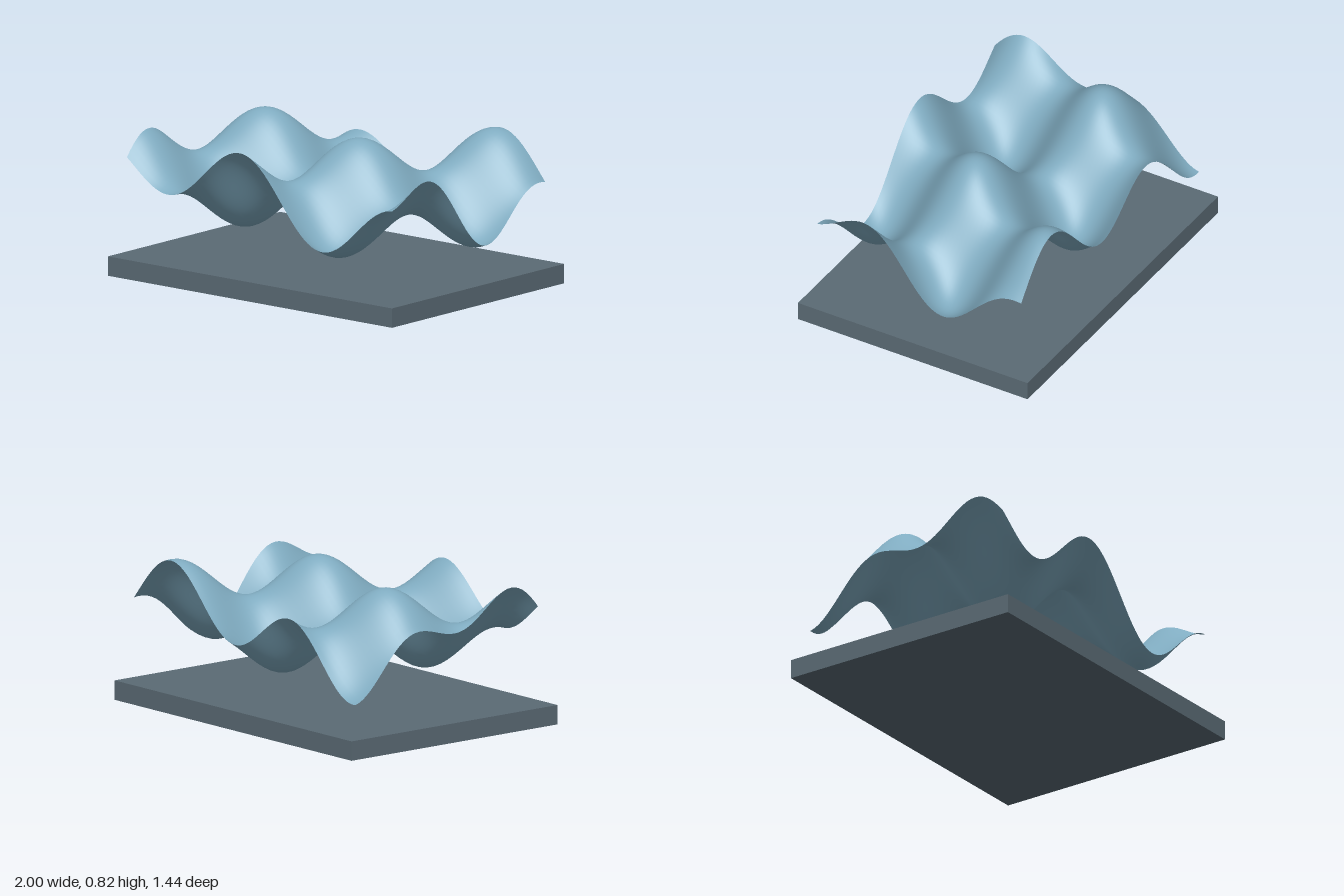
import * as THREE from 'three';

// Height of the sheet: two crossing plane waves sharing a crest at (0.222, 0.067)
function waveHeight(x, z) {
  const dx = x - 0.222;
  const dz = z - 0.067;
  return 0.5525
    + 0.105 * Math.cos(-2.385 * dx + 7.96 * dz)
    + 0.1675 * Math.cos(6.05 * dx + 3.51 * dz);
}

export function createModel() {
  const model = new THREE.Group();
  model.name = 'waveSurfaceDisplay';

  // Flat rectangular plinth
  const base = new THREE.Mesh(
    new THREE.BoxGeometry(2, 0.107, 1.44),
    new THREE.MeshStandardMaterial({ color: 0x5b6b75 })
  );
  base.name = 'base';
  base.position.y = 0.0535;
  model.add(base);

  // Thin rippled sheet floating above the plinth
  const sheet = new THREE.PlaneGeometry(1.866, 1.28, 72, 48);
  sheet.rotateX(-Math.PI / 2);
  const pos = sheet.attributes.position;
  for (let i = 0; i < pos.count; i++) {
    pos.setY(i, waveHeight(pos.getX(i), pos.getZ(i)));
  }
  sheet.computeVertexNormals();
  const surface = new THREE.Mesh(
    sheet,
    new THREE.MeshStandardMaterial({ color: 0x7fabc0, side: THREE.DoubleSide })
  );
  surface.name = 'waveSurface';
  model.add(surface);

  return model;
}
